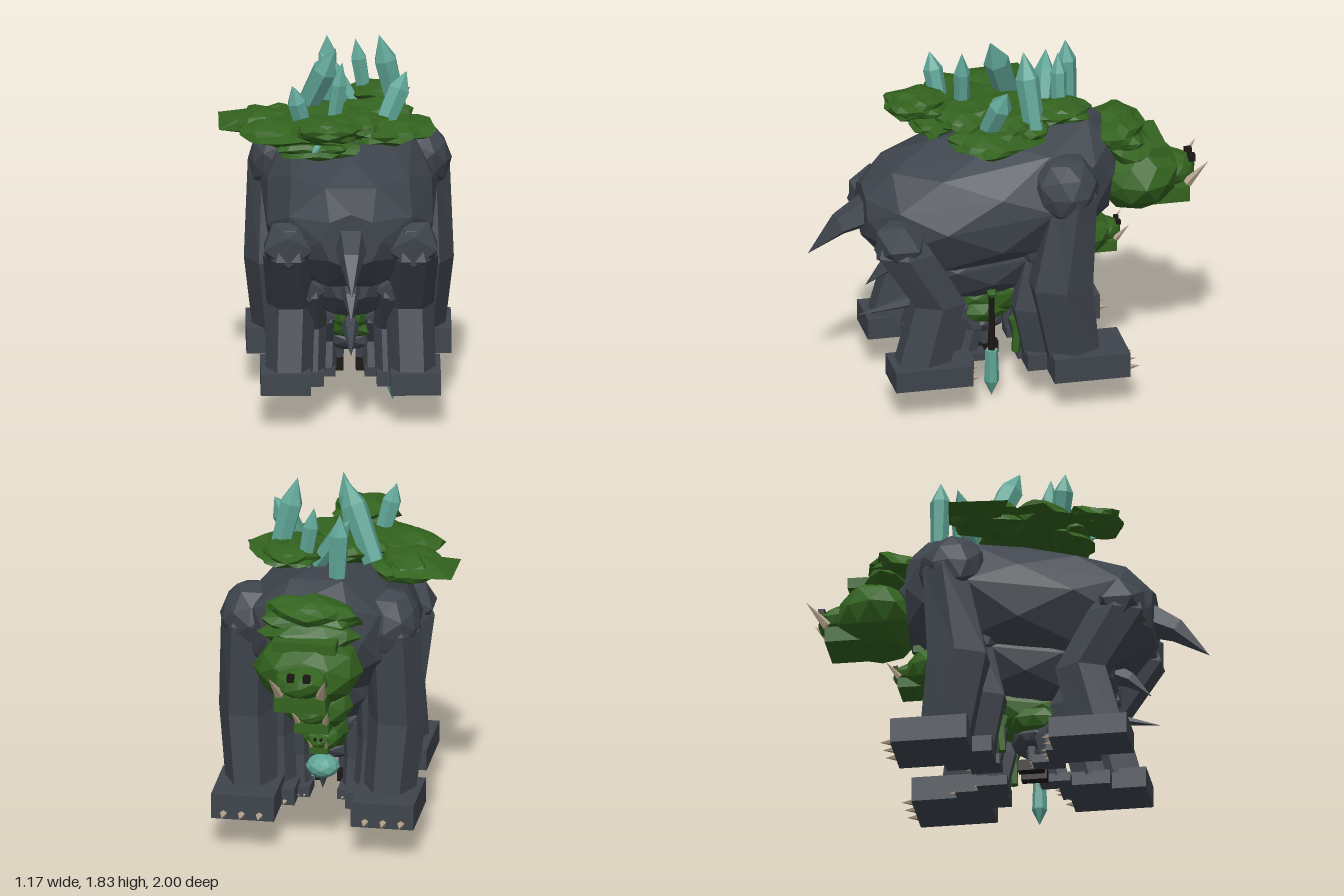
import * as THREE from 'three';
import { ConvexGeometry } from 'three/addons/geometries/ConvexGeometry.js';

const mat = (color) => new THREE.MeshStandardMaterial({ color, flatShading: true, roughness: 0.9 });
const M = {
  stone: mat(0x3f454d), green: mat(0x33631f), crystal: mat(0x5fa596),
  claw: mat(0xb3a18a), dark: mat(0x1b1614),
};
const V = (p) => new THREE.Vector3(...p);
const GROUND = 0.167;

function add(parent, name, geometry, material, position = [0, 0, 0]) {
  const mesh = new THREE.Mesh(geometry, material);
  mesh.name = name;
  mesh.position.set(...position);
  parent.add(mesh);
  return mesh;
}

// Faceted ellipsoid; rough pushes each corner in or out by a rule on its direction.
function rock(parent, name, material, center, radii, rough = 0.05, detail = 1) {
  const g = new THREE.IcosahedronGeometry(1, detail);
  const p = g.attributes.position;
  const v = new THREE.Vector3();
  const seed = center[0] * 7 + center[2] * 13;
  for (let i = 0; i < p.count; i++) {
    v.fromBufferAttribute(p, i);
    const k = 1 + rough * Math.sin(v.x * 9.1 + v.y * 5.7 + v.z * 11.3 + seed);
    p.setXYZ(i, v.x * radii[0] * k, v.y * radii[1] * k, v.z * radii[2] * k);
  }
  g.computeVertexNormals();
  return add(parent, name, g, material, center);
}

// Tapered prism from a to b.
function limb(parent, name, material, a, b, ra, rb, sides = 6) {
  const d = V(b).sub(V(a));
  const mesh = add(parent, name, new THREE.CylinderGeometry(rb, ra, d.length(), sides), material);
  mesh.position.copy(V(a)).addScaledVector(d, 0.5);
  mesh.quaternion.setFromUnitVectors(new THREE.Vector3(0, 1, 0), d.normalize());
}

// Leg skinned through level six-sided rings [x, y, z, rx, rz], top to bottom.
function leg(parent, name, rings, mirror) {
  const n = 6, pos = [], idx = [];
  rings.forEach(([x, y, z, rx, rz], i) => {
    for (let j = 0; j < n; j++) {
      const a = (j / n) * Math.PI * 2;
      pos.push(mirror * x + rx * Math.cos(a), y, z + rz * Math.sin(a));
      if (i === rings.length - 1) continue;
      const A = i * n + j, B = i * n + (j + 1) % n;
      idx.push(A, B, A + n, B, B + n, A + n);
    }
  });
  const g = new THREE.BufferGeometry();
  g.setAttribute('position', new THREE.Float32BufferAttribute(pos, 3));
  g.setIndex(idx);
  g.computeVertexNormals();
  add(parent, name, g, M.stone);
}

// Angular trunk: hull around upright rings [z, centre y, rx, ry], alternate rings turned.
function trunk(parent, material) {
  const rings = [
    [0.73, 0.98, 0.15, 0.14], [0.6, 0.97, 0.33, 0.27], [0.38, 0.98, 0.41, 0.34], [0.1, 1.0, 0.44, 0.37],
    [-0.16, 1.06, 0.44, 0.36], [-0.39, 1.13, 0.34, 0.315], [-0.49, 1.13, 0.24, 0.25],
  ];
  const pts = rings.flatMap(([z, y, rx, ry], i) => Array.from({ length: 8 }, (_, j) => {
    const a = ((j + (i % 2) / 2) / 8) * Math.PI * 2;
    return V([rx * Math.sin(a), y + ry * Math.cos(a), z]);
  }));
  add(parent, 'trunk', new ConvexGeometry(pts), material);
}

// Block given by its low and high corners.
function block(parent, name, material, lo, hi) {
  add(parent, name, new THREE.BoxGeometry(hi[0] - lo[0], hi[1] - lo[1], hi[2] - lo[2]),
    material, lo.map((l, i) => (l + hi[i]) / 2));
}

// Six-sided crystal from base to tip.
function crystal(parent, name, base, tip, r) {
  const d = V(tip).sub(V(base));
  const L = d.length();
  const g = new THREE.LatheGeometry(
    [[0, 0], [r * 0.85, 0.01 * L], [r, 0.68 * L], [0, L]].map((q) => new THREE.Vector2(...q)), 6);
  const mesh = add(parent, name, g, M.crystal, base);
  mesh.quaternion.setFromUnitVectors(new THREE.Vector3(0, 1, 0), d.normalize());
}

// One heavy four-legged creature facing -z, shrunk towards the ground by s.
function beast(name, s, dz, narrow = 1, hide = M.stone) {
  const g = new THREE.Group();
  g.name = name;
  g.position.set(0.067, GROUND * (1 - s), dz);
  g.scale.set(s * narrow, s, s);

  trunk(g, hide);
  limb(g, 'tailRoot', M.stone, [0, 1.0, 0.64], [0, 0.91, 0.84], 0.1, 0.06, 5);
  limb(g, 'tailTip', M.stone, [0, 0.915, 0.83], [0, 0.765, 1.0], 0.062, 0, 5);

  // Head
  rock(g, 'neck', M.stone, [0, 1.13, -0.45], [0.2, 0.2, 0.12], 0.03);
  rock(g, 'skull', M.green, [0, 1.06, -0.66], [0.27, 0.19, 0.22], 0.04);
  rock(g, 'snout', M.green, [0, 1.06, -0.84], [0.14, 0.08, 0.12], 0.05);
  block(g, 'jaw', M.green, [-0.13, 0.915, -0.91], [0.13, 0.995, -0.7]);
  block(g, 'brow', M.green, [-0.16, 1.185, -0.79], [0.16, 1.24, -0.69]);
  rock(g, 'mossHair', M.green, [0, 1.3, -0.555], [0.25, 0.09, 0.14], 0.13, 2);
  rock(g, 'mossFringe', M.green, [0, 1.22, -0.61], [0.24, 0.08, 0.13], 0.12);

  for (const m of [-1, 1]) {
    block(g, 'nostril', M.dark, [m * 0.04 - 0.017, 1.095, -0.955], [m * 0.04 + 0.017, 1.13, -0.92]);
    limb(g, 'tusk', M.claw, [m * 0.105, 1.01, -0.9], [m * 0.142, 1.13, -1.0], 0.028, 0, 5);

    // Front leg
    rock(g, 'shoulder', M.stone, [m * 0.335, 1.15, -0.23], [0.17, 0.18, 0.17], 0.04, 1);
    leg(g, 'frontLeg', [[0.33, 1.29, -0.24, 0.1, 0.08], [0.36, 1.13, -0.265, 0.14, 0.125],
      [0.375, 0.65, -0.2, 0.145, 0.17], [0.345, 0.25, -0.265, 0.13, 0.145]], m);
    block(g, 'frontFoot', M.stone, [m * 0.35 - 0.158, GROUND, -0.525], [m * 0.35 + 0.158, 0.295, -0.14]);

    // Rear leg
    rock(g, 'hip', M.stone, [m * 0.31, 0.92, 0.6], [0.145, 0.145, 0.145], 0.03, 0);
    leg(g, 'rearLeg', [[0.3, 1.02, 0.6, 0.06, 0.08], [0.31, 0.87, 0.58, 0.125, 0.16],
      [0.295, 0.58, 0.405, 0.12, 0.145], [0.305, 0.25, 0.49, 0.118, 0.15]], m);
    block(g, 'rearFoot', M.stone, [m * 0.322 - 0.124, GROUND, 0.26], [m * 0.322 + 0.124, 0.275, 0.65]);

    for (const i of [-1, 0, 1]) {
      const xf = m * 0.355 + i * 0.09, xr = m * 0.322 + i * 0.075;
      limb(g, 'frontClaw', M.claw, [xf, 0.195, -0.52], [xf, 0.195, -0.585], 0.02, 0, 5);
      limb(g, 'rearClaw', M.claw, [xr, 0.19, 0.265], [xr, 0.19, 0.215], 0.018, 0, 5);
    }
  }
  return g;
}

// Moss pads and crystals growing on the back
function backGarden() {
  const g = new THREE.Group();
  g.name = 'backGarden';
  const pads = [ // x, y, z, then radii
    [-0.32, 1.39, -0.04, 0.17, 0.07, 0.18], [-0.17, 1.4, 0.2, 0.28, 0.07, 0.23],
    [0.22, 1.49, -0.23, 0.15, 0.045, 0.16], [0.24, 1.39, 0.09, 0.23, 0.06, 0.23],
    [-0.05, 1.475, 0.43, 0.17, 0.06, 0.15], [-0.1, 1.35, 0.34, 0.2, 0.05, 0.1],
    [-0.02, 1.43, 0.04, 0.22, 0.06, 0.17], [0.08, 1.44, 0.18, 0.17, 0.06, 0.17],
    [0.2, 1.44, -0.06, 0.17, 0.06, 0.15],
  ];
  for (const p of pads) rock(g, 'mossPad', M.green, p.slice(0, 3), p.slice(3), 0.15, 2);
  add(g, 'mossSpur', new ConvexGeometry([
    [-0.58, 1.39, -0.21], [-0.58, 1.38, 0.09], [-0.25, 1.46, -0.1], [-0.25, 1.32, -0.05],
    [-0.3, 1.4, -0.25], [-0.4, 1.45, -0.05], [-0.42, 1.33, -0.02],
  ].map(V)), M.green);
  const spikes = [ // base, tip, radius
    [[-0.15, 1.4, 0.28], [-0.22, 1.67, 0.32], 0.05], [[-0.02, 1.4, 0.2], [0.03, 1.76, 0.21], 0.042],
    [[-0.17, 1.4, -0.07], [0, 1.79, 0.06], 0.065], [[0.31, 1.42, -0.1], [0.215, 1.825, -0.06], 0.06],
    [[0.23, 1.4, 0.13], [0.35, 1.67, 0.05], 0.06], [[0.1, 1.42, -0.18], [-0.08, 1.69, -0.24], 0.05],
    [[-0.03, 1.42, -0.34], [-0.04, 1.75, -0.33], 0.052], [[0.15, 1.44, -0.26], [0.1, 1.75, -0.26], 0.042],
    [[-0.06, 1.36, 0.28], [-0.12, 1.36, 0.46], 0.03],
  ];
  for (const [b, t, r] of spikes) crystal(g, 'backCrystal', b, t, r);
  return g;
}

// Small moss-covered figure sheltering under the belly, with a hanging blade
function smallFigure() {
  const g = new THREE.Group();
  g.name = 'smallFigure';
  rock(g, 'torso', M.green, [0.067, 0.42, 0.145], [0.18, 0.09, 0.165], 0.05);
  rock(g, 'waist', M.stone, [0.067, 0.345, 0.145], [0.14, 0.07, 0.14], 0.03);
  for (const m of [-1, 1]) {
    const x = 0.067 + m * 0.055;
    limb(g, 'leg', M.stone, [x, 0.36, 0.12], [x, 0.2, 0.12], 0.035, 0.028);
    block(g, 'boot', M.dark, [x - 0.025, GROUND, 0.05], [x + 0.025, 0.225, 0.18]);
    for (const [z0, z1] of [[0.32, 0.36], [0.0, -0.02]]) {
      const xl = 0.067 + m * 0.2;
      limb(g, 'upperLimb', M.green, [xl, 0.41, z0], [xl, 0.35, z1], 0.03, 0.03, 5);
      limb(g, 'lowerLimb', M.green, [xl, 0.35, z1], [xl, 0.22, z1 + 0.01], 0.03, 0.022, 5);
    }
  }
  // Staff with a blade pointing down
  limb(g, 'staff', M.dark, [0.28, 0.24, 0.115], [0.28, 0.55, 0.115], 0.018, 0.015);
  rock(g, 'staffKnob', M.green, [0.28, 0.555, 0.115], [0.028, 0.028, 0.028], 0, 0);
  crystal(g, 'staffBlade', [0.28, 0.25, 0.115], [0.28, 0, 0.115], 0.038);
  // Pendant gem below the smallest head
  rock(g, 'pendantGem', M.crystal, [0.067, 0.35, -0.2], [0.085, 0.06, 0.08], 0.02);
  limb(g, 'pendantPoint', M.stone, [0.067, 0.32, -0.2], [0.067, 0.23, -0.2], 0.035, 0, 5);
  return g;
}

export function createModel() {
  const model = new THREE.Group();
  model.name = 'stoneBeasts';
  model.add(beast('largeBeast', 1, 0), beast('middleBeast', 0.66, 0.05));
  model.add(beast('smallBeast', 0.4, 0.03, 0.9, M.green), backGarden(), smallFigure());
  limb(model, 'longTail', M.stone, [0.067, 0.47, 0.42], [0.067, 0.4, 0.755], 0.045, 0, 5);
  return model;
}
